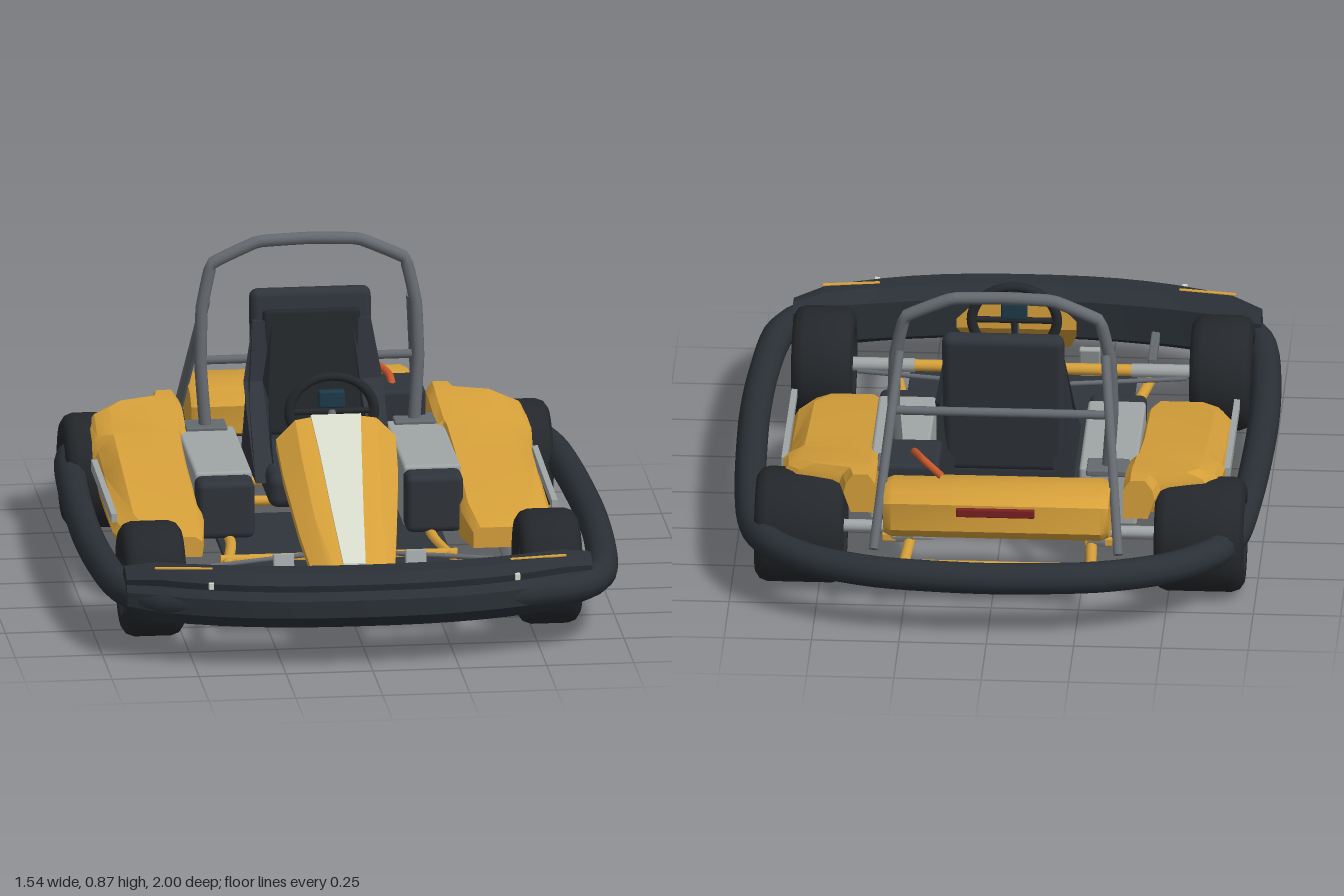
import * as THREE from 'three';
import { toCreasedNormals } from 'three/addons/utils/BufferGeometryUtils.js';
import { RoundedBoxGeometry } from 'three/addons/geometries/RoundedBoxGeometry.js';

const mat = (color) => new THREE.MeshStandardMaterial({ color });
const V = (x, y, z) => new THREE.Vector3(x, y, z);

// Skin over matching closed rings of points, capped at both ends and facing outward
function loft(rings, crease = 0.5) {
  const n = rings[0].length, tris = [];
  for (let i = 0; i < rings.length - 1; i++) {
    for (let j = 0; j < n; j++) {
      const k = (j + 1) % n, a = rings[i], b = rings[i + 1];
      tris.push([a[j], a[k], b[k]], [a[j], b[k], b[j]]);
    }
  }
  [rings[0], rings[rings.length - 1]].forEach((r, e) => {
    const c = r.reduce((s, p) => s.add(p), V(0, 0, 0)).divideScalar(n);
    for (let j = 0; j < n; j++) {
      const k = (j + 1) % n;
      tris.push(e ? [r[j], r[k], c] : [r[k], r[j], c]);
    }
  });
  const volume = tris.reduce((s, [a, b, c]) => s + a.dot(V(0, 0, 0).crossVectors(b, c)), 0);
  const pts = tris.flatMap((t) => (volume < 0 ? [t[0], t[2], t[1]] : t));
  const g = new THREE.BufferGeometry().setFromPoints(pts);
  return toCreasedNormals(g, crease);
}

export function createModel() {
  const yellow = mat(0xd6a03a), dark = mat(0x2f343b), rubber = mat(0x24272b), bumperMat = mat(0x2a3036);
  const steel = mat(0x656a70), light = mat(0xa0a5a5), cream = mat(0xd6dacb), red = mat(0x7a1f22);
  const orange = mat(0xc4552a), screen = mat(0x1d3a48);
  const root = new THREE.Group();
  root.name = 'kart';
  const body = new THREE.Group();
  body.name = 'kartBody';
  body.position.x = -0.0175;
  root.add(body);

  const add = (name, geo, material, parent = body) => {
    const m = new THREE.Mesh(geo, material);
    m.name = name;
    parent.add(m);
    return m;
  };
  const box = (name, [w, h, d], [x, y, z], material, r = 0.01, tilt = 0) => {
    const m = add(name, new RoundedBoxGeometry(w, h, d, 2, r), material);
    m.position.set(x, y, z);
    m.rotation.x = tilt;
    return m;
  };
  const tube = (name, pts, r, material, { parent = body, closed = false, tension = 0.25, steps = 48 } = {}) =>
    add(name, new THREE.TubeGeometry(
      new THREE.CatmullRomCurve3(pts.map((p) => V(...p)), closed, 'catmullrom', tension), steps, r, 12, closed), material, parent);
  const rod = (name, a, b, r, material) => {
    const A = V(...a), B = V(...b);
    const m = add(name, new THREE.CylinderGeometry(r, r, A.distanceTo(B), 12), material);
    m.position.copy(A).add(B).multiplyScalar(0.5);
    m.quaternion.setFromUnitVectors(V(0, 1, 0), B.sub(A).normalize());
    return m;
  };

  // Surrounding bumper ring
  const half = [[0.3, -0.93], [0.5, -0.86], [0.63, -0.75], [0.69, -0.6], [0.715, -0.3], [0.727, 0.1],
    [0.72, 0.4], [0.69, 0.7], [0.6, 0.84], [0.35, 0.91]];
  const loop = [[0, -0.955], ...half, [0, 0.93], ...half.map(([x, z]) => [-x, z]).reverse()];
  tube('bumperRing', loop.map(([x, z]) => [x, 0.185, z]), 0.045, bumperMat,
    { parent: root, closed: true, tension: 0.4, steps: 110 });

  // Front bumper with a grooved face
  const stations = [];
  for (let i = -8; i <= 8; i++) {
    const u = i / 8, x = 0.67 * u, b = 0.83 - 0.11 * u * u, f = 0.998 - 0.165 * Math.abs(u) ** 2.5, w = f - b;
    const section = [[b, 0.14], [b, 0.25], [b + 0.25 * w, 0.28], [f - 0.05, 0.278], [f - 0.015, 0.252],
      [f - 0.02, 0.232], [f, 0.21], [f, 0.16], [f - 0.03, 0.125], [b + 0.3 * w, 0.11]];
    const squash = Math.abs(i) === 8 ? 0.8 : 1;
    stations.push(section.map(([z, y]) => V(x, 0.195 + (y - 0.195) * squash, z)));
  }
  add('frontBumper', loft(stations, 0.6), bumperMat);

  // Nose cone: [z, half width, bottom, top]
  const nose = [[0.212, 0.172, 0.44, 0.53], [0.34, 0.165, 0.365, 0.452], [0.52, 0.14, 0.25, 0.328], [0.79, 0.1, 0.12, 0.165]];
  add('noseCone', loft(nose.map(([z, w, b, t]) => [[-w, b], [-w, b + 0.3 * (t - b)], [-0.68 * w, t - 0.008], [-0.4 * w, t],
    [0.4 * w, t], [0.68 * w, t - 0.008], [w, b + 0.3 * (t - b)], [w, b]].map(([x, y]) => V(x, y, z)))), yellow);
  add('noseStripe', loft([[0.21, 0.072, 0.531], [0.34, 0.06, 0.452], [0.52, 0.045, 0.328], [0.69, 0.032, 0.226]].map(([z, w, t]) =>
    [[-w, t - 0.01], [-w, t + 0.005], [w, t + 0.005], [w, t - 0.01]].map(([x, y]) => V(x, y, z)))), cream);

  // Floor, chassis cross tubes and axles
  box('floorPan', [0.65, 0.015, 0.84], [0, 0.125, 0.23], dark, 0.005);
  for (const [z, w] of [[0.29, 0.34], [-0.3, 0.31], [-0.5, 0.31], [-0.76, 0.28]])
    rod('crossTube', [-w, 0.135, z], [w, 0.135, z], 0.015, yellow);
  rod('frontAxle', [-0.33, 0.165, 0.55], [0.33, 0.165, 0.55], 0.017, yellow);
  rod('rearAxle', [-0.55, 0.165, -0.565], [0.55, 0.165, -0.565], 0.018, light);

  // Tyre profile and rim, shared by the four wheels
  const wheel = (name, x, z, width) => {
    const g = new THREE.Group(), h = width / 2;
    g.name = name;
    g.position.set(x, 0.165, z);
    g.rotation.z = Math.PI / 2;
    body.add(g);
    const p = [[0.088, -h + 0.015], [0.105, -h], [0.138, -h], [0.157, -h + 0.013], [0.165, -h + 0.035]];
    const prof = [...p, ...p.map(([r, y]) => [r, -y]).reverse(), p[0]].map(([r, y]) => new THREE.Vector2(r, y));
    add('tyre', toCreasedNormals(new THREE.LatheGeometry(prof, 40), 0.7), rubber, g);
    const rim = mat(0xa0a5a5);
    rim.side = THREE.DoubleSide;
    add('rim', new THREE.CylinderGeometry(0.089, 0.089, width - 0.03, 32, 1, true), rim, g);
    add('hub', new THREE.CylinderGeometry(0.028, 0.028, width * 0.8, 16), steel, g);
    for (let i = 0; i < 5; i++) {
      const a = (i / 5) * Math.PI * 2;
      const s = add('spoke', new THREE.BoxGeometry(0.07, 0.02, 0.018), light, g);
      s.position.set(0.055 * Math.cos(a), 0, 0.055 * Math.sin(a));
      s.rotation.y = -a;
    }
  };

  for (const s of [-1, 1]) {
    const side = s > 0 ? 'left' : 'right';
    wheel(side + 'FrontWheel', s * 0.57, 0.55, 0.175);
    wheel(side + 'RearWheel', s * 0.572, -0.565, 0.255);

    // Side pod: [z, inner x, outer x, bottom, top]
    const pod = [[0.265, 0.39, 0.59, 0.14, 0.2], [0.13, 0.37, 0.633, 0.13, 0.235], [-0.2, 0.37, 0.633, 0.13, 0.293],
      [-0.37, 0.365, 0.633, 0.14, 0.325], [-0.4, 0.36, 0.632, 0.26, 0.33], [-0.54, 0.355, 0.625, 0.28, 0.357],
      [-0.58, 0.355, 0.59, 0.28, 0.364], [-0.61, 0.355, 0.46, 0.27, 0.367], [-0.66, 0.355, 0.445, 0.25, 0.368]];
    add(side + 'SidePod', loft(pod.map(([z, a, b, y0, y1]) => {
      const c = 0.25 * (y1 - y0), e = Math.min(0.06, 0.3 * (b - a));
      return [[a, y0], [a, y1 - c], [a + 0.02, y1], [b - e, y1], [b - 0.25 * e, y1 - c], [b, y1 - 2 * c], [b - 0.02, y0]]
        .map(([x, y]) => V(s * x, y, z));
    })), yellow);
    add(side + 'PodStripe', loft([0.625, 0.642].map((x) => [[0.18, 0.225], [0.18, 0.25], [-0.33, 0.265], [-0.33, 0.232]]
      .map(([z, y]) => V(s * x, y, z)))), light);

    // Side tank with dark front block and hoop foot plate
    box(side + 'SideTank', [0.165, 0.18, 0.47], [s * 0.3, 0.225, -0.225], light);
    box(side + 'TankFront', [0.165, 0.17, 0.1], [s * 0.3, 0.22, 0.035], dark, 0.02);
    box(side + 'HoopFoot', [0.12, 0.02, 0.09], [s * 0.3, 0.315, -0.455], steel, 0.005);

    // Chassis rail, steering and front supports
    tube(side + 'ChassisRail', [[0.37, 0.6], [0.32, 0.3], [0.29, 0.1], [0.29, -0.35], [0.26, -0.55], [0.27, -0.78]]
      .map(([x, z]) => [s * x, 0.13, z]), 0.016, yellow);
    rod(side + 'Spindle', [s * 0.31, 0.165, 0.55], [s * 0.55, 0.165, 0.55], 0.02, light);
    rod(side + 'TieRod', [s * 0.06, 0.18, 0.4], [s * 0.47, 0.17, 0.49], 0.007, steel);
    box(side + 'BumperMount', [0.025, 0.03, 0.24], [s * 0.365, 0.16, 0.73], steel, 0.005);
    box(side + 'Pedal', [0.06, 0.1, 0.02], [s * 0.19, 0.18, 0.57], light, 0.005, -0.3);
    rod(side + 'AxleBearing', [s * 0.25, 0.165, -0.565], [s * 0.3, 0.165, -0.565], 0.045, light);
    box(side + 'BearingMount', [0.1, 0.025, 0.06], [s * 0.29, 0.14, -0.56], yellow, 0.005);

    // Rear stay of the hoop
    rod(side + 'HoopStay', [s * 0.295, 0.68, -0.49], [s * 0.35, 0.21, -0.825], 0.014, steel);

    // Seat side bolster
    add(side + 'SeatBolster', loft([0.145, 0.2].map((x) => [[-0.05, 0.26], [-0.18, 0.33], [-0.37, 0.47], [-0.4, 0.64], [-0.43, 0.64],
      [-0.42, 0.26]].map(([z, y]) => V(s * (x - (y > 0.5 ? 0.03 : 0)), y, z))), 0.3), dark);

    // Front bumper markers
    box(side + 'BumperMark', [0.165, 0.006, 0.012], [s * 0.51, 0.279, 0.85], yellow, 0.002).rotation.y = s * 0.15;
    box(side + 'BumperClip', [0.015, 0.02, 0.012], [s * 0.44, 0.25, 0.94], cream, 0.002);
  }

  // Roll hoop
  const hoopSide = [[0.3, 0.31, -0.45], [0.313, 0.5, -0.462], [0.308, 0.66, -0.475], [0.278, 0.79, -0.488], [0.145, 0.85, -0.492]];
  tube('rollHoop', [...hoopSide, [0, 0.856, -0.493], ...hoopSide.map(([x, y, z]) => [-x, y, z]).reverse()], 0.018, steel,
    { tension: 0.1, steps: 70 });
  rod('hoopCrossBar', [-0.31, 0.5, -0.5], [0.31, 0.5, -0.5], 0.013, steel);

  // Seat
  box('seatCushion', [0.34, 0.1, 0.42], [0, 0.25, -0.19], dark, 0.03);
  box('seatBack', [0.35, 0.45, 0.055], [0, 0.5, -0.42], dark, 0.025, -0.15);
  box('seatBackPad', [0.28, 0.36, 0.03], [0, 0.49, -0.39], rubber, 0.012, -0.15);

  // Steering wheel, column and display
  const rim = add('steeringWheel', new THREE.TorusGeometry(0.115, 0.014, 12, 40), rubber);
  rim.position.set(0, 0.515, 0.108);
  rim.scale.set(1.06, 0.9, 1);
  for (const a of [0, Math.PI, -Math.PI / 2])
    rod('steeringSpoke', [0, 0.515, 0.108], [0.115 * Math.cos(a), 0.515 + 0.1 * Math.sin(a), 0.108], 0.009, rubber);
  box('steeringDisplay', [0.075, 0.05, 0.03], [0, 0.55, 0.1], screen, 0.006);
  rod('steeringColumn', [0, 0.515, 0.11], [0, 0.18, 0.4], 0.012, steel);
  for (const s of [-1, 1]) rod('columnBrace', [0, 0.39, 0.12], [s * 0.1, 0.14, 0.3], 0.009, steel);

  // Tail cover with its lamp
  const tail = [[-0.6, 0.25], [-0.6, 0.33], [-0.64, 0.365], [-0.72, 0.38], [-0.81, 0.378], [-0.84, 0.36],
    [-0.845, 0.28], [-0.82, 0.25], [-0.72, 0.21]];
  add('tailCover', loft([[-0.322, 0.88], [-0.3, 1], [0.3, 1], [0.322, 0.88]].map(([x, k]) =>
    tail.map(([z, y]) => V(x, 0.3 + (y - 0.3) * k, -0.72 + (z + 0.72) * k))), 0.7), yellow);
  box('tailLamp', [0.225, 0.025, 0.015], [0, 0.342, -0.849], red, 0.004);

  // Engine and hose
  box('engine', [0.165, 0.18, 0.19], [0.255, 0.31, -0.565], dark, 0.015);
  box('engineBase', [0.13, 0.1, 0.15], [0.25, 0.19, -0.53], light);
  tube('hose', [[0.25, 0.38, -0.53], [0.245, 0.412, -0.59], [0.215, 0.422, -0.67], [0.16, 0.39, -0.71]], 0.011, orange);

  return root;
}
